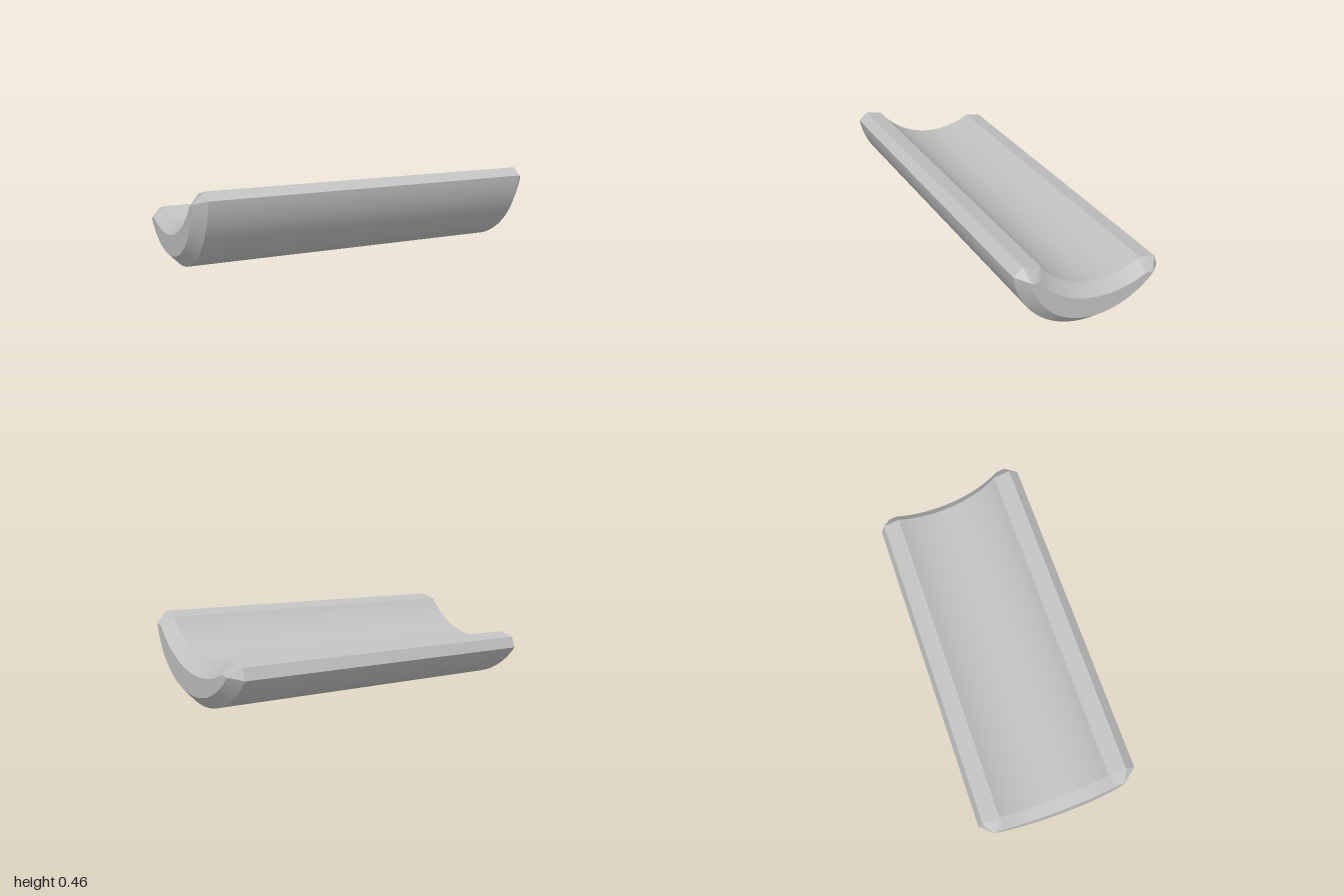
import * as THREE from 'three';
import { toCreasedNormals } from 'three/addons/utils/BufferGeometryUtils.js';

const STEPS = 40;

// Points [z, y] along the underside of a circle, from one point's bearing to another's
function arc(cz, cy, r, from, to) {
  const a = Math.atan2(from[1] - cy, from[0] - cz);
  const b = Math.atan2(to[1] - cy, to[0] - cz);
  return Array.from({ length: STEPS + 1 }, (_, i) => {
    const t = a + (b - a) * i / STEPS;
    return [cz + r * Math.cos(t), cy + r * Math.sin(t)];
  });
}

// Closed trough section: outer arc, back lip, inner arc, front lip
function section(inset, front, back) {
  return [
    ...arc(-0.0465, 0.488, 0.488 - inset, front[0], back[0]),
    back[1],
    ...arc(-0.1043, 0.705, 0.477 + inset, back[2], front[2]),
    front[1],
  ];
}

export function createModel() {
  const full = section(0,
    [[0.437, 0.42], [0.385, 0.462], [0.29, 0.437]],
    [[-0.433, 0.19], [-0.41, 0.253], [-0.315, 0.277]]);
  const end = section(0.06,
    [[0.372, 0.4], [0.361, 0.397], [0.325, 0.386]],
    [[-0.37, 0.204], [-0.361, 0.206], [-0.32, 0.215]]);

  const positions = [];
  const quad = (a, b, c, d) => positions.push(...a, ...b, ...c, ...a, ...c, ...d);
  const at = (x, p) => [x, p[1], p[0]];

  // Long walls with a chamfer at each end
  const rings = [[-1, end], [-0.94, full], [0.94, full], [1, end]];
  const n = full.length;
  for (let k = 0; k < 3; k++) {
    const [x0, r0] = rings[k], [x1, r1] = rings[k + 1];
    for (let i = 0; i < n; i++) {
      const j = (i + 1) % n;
      quad(at(x0, r0[i]), at(x0, r0[j]), at(x1, r1[j]), at(x1, r1[i]));
    }
  }

  // Flat crescent end faces, bridging outer arc to inner arc
  for (let i = 0; i < STEPS; i++) {
    const o0 = end[i], o1 = end[i + 1];
    const i0 = end[n - 2 - i], i1 = end[n - 3 - i];
    quad(at(1, o0), at(1, o1), at(1, i1), at(1, i0));
    quad(at(-1, i0), at(-1, i1), at(-1, o1), at(-1, o0));
  }

  const geometry = new THREE.BufferGeometry();
  geometry.setAttribute('position', new THREE.Float32BufferAttribute(positions, 3));

  const material = new THREE.MeshStandardMaterial({ color: 0xc0c0c0 });
  material.name = 'light grey';
  const trough = new THREE.Mesh(toCreasedNormals(geometry, 0.5), material);
  trough.name = 'curvedTrough';

  const group = new THREE.Group();
  group.name = 'trough';
  group.add(trough);
  return group;
}
